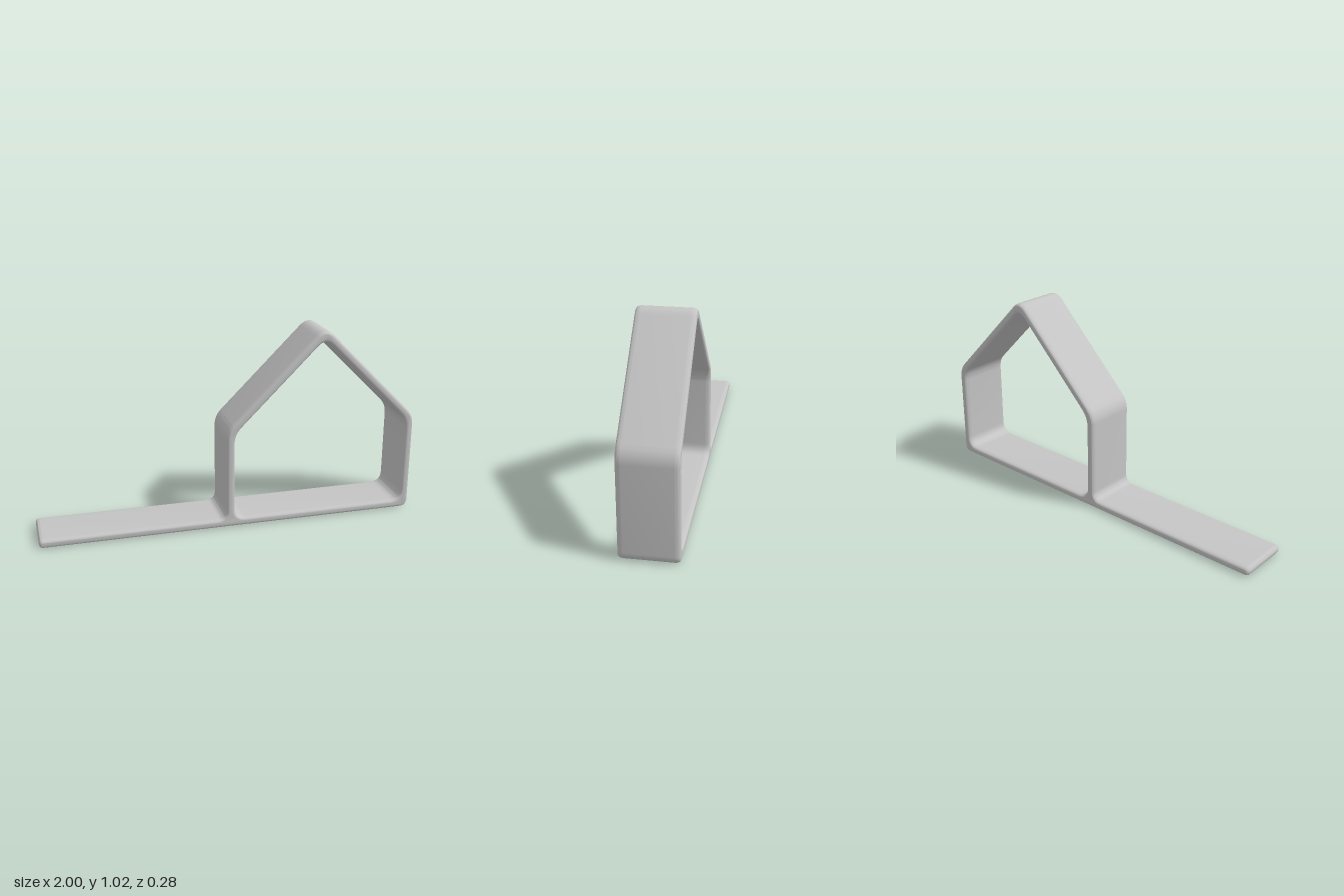
import * as THREE from 'three';
import { toCreasedNormals } from 'three/addons/utils/BufferGeometryUtils.js';

// Traces a closed polygon of [x, y, cut] points, rounding each corner over the length cut
function roundedPath(path, points) {
  const n = points.length;
  const toward = (a, b, d) => {
    const len = Math.hypot(b[0] - a[0], b[1] - a[1]);
    return [a[0] + (b[0] - a[0]) * d / len, a[1] + (b[1] - a[1]) * d / len];
  };
  points.forEach((p, i) => {
    const start = toward(p, points[(i + n - 1) % n], p[2]);
    const end = toward(p, points[(i + 1) % n], p[2]);
    if (i === 0) path.moveTo(...start);
    else path.lineTo(...start);
    path.quadraticCurveTo(p[0], p[1], ...end);
  });
  path.closePath();
  return path;
}

export function createModel() {
  const group = new THREE.Group();
  const grey = new THREE.MeshStandardMaterial({ color: 0xc4c4c4 });
  grey.name = 'light grey';

  // Outline: long base strip with the house-shaped loop on its left half
  const outline = roundedPath(new THREE.Shape(), [
    [-1, 0, 0.022], [1, 0, 0.045], [1, 0.53, 0.05], [0.485, 1.045, 0.07],
    [-0.03, 0.53, 0.05], [-0.03, 0.045, 0.05], [-1, 0.045, 0.022],
  ]);

  // Opening inside the house
  outline.holes.push(roundedPath(new THREE.Path(), [
    [0.015, 0.045, 0.06], [0.015, 0.511, 0.05], [0.485, 0.981, 0.05],
    [0.955, 0.511, 0.05], [0.955, 0.045, 0.06],
  ]));

  // Band with softly rounded front and back rims
  const halfDepth = 0.142, rim = 0.026;
  const geometry = new THREE.ExtrudeGeometry(outline, {
    depth: 2 * (halfDepth - rim), curveSegments: 10,
    bevelEnabled: true, bevelThickness: rim, bevelSize: 0.015,
    bevelOffset: -0.015, bevelSegments: 6,
  });
  geometry.translate(0, 0, -(halfDepth - rim));

  const frame = new THREE.Mesh(toCreasedNormals(geometry, 0.6), grey);
  frame.name = 'houseFrameWithBase';
  group.add(frame);
  return group;
}
